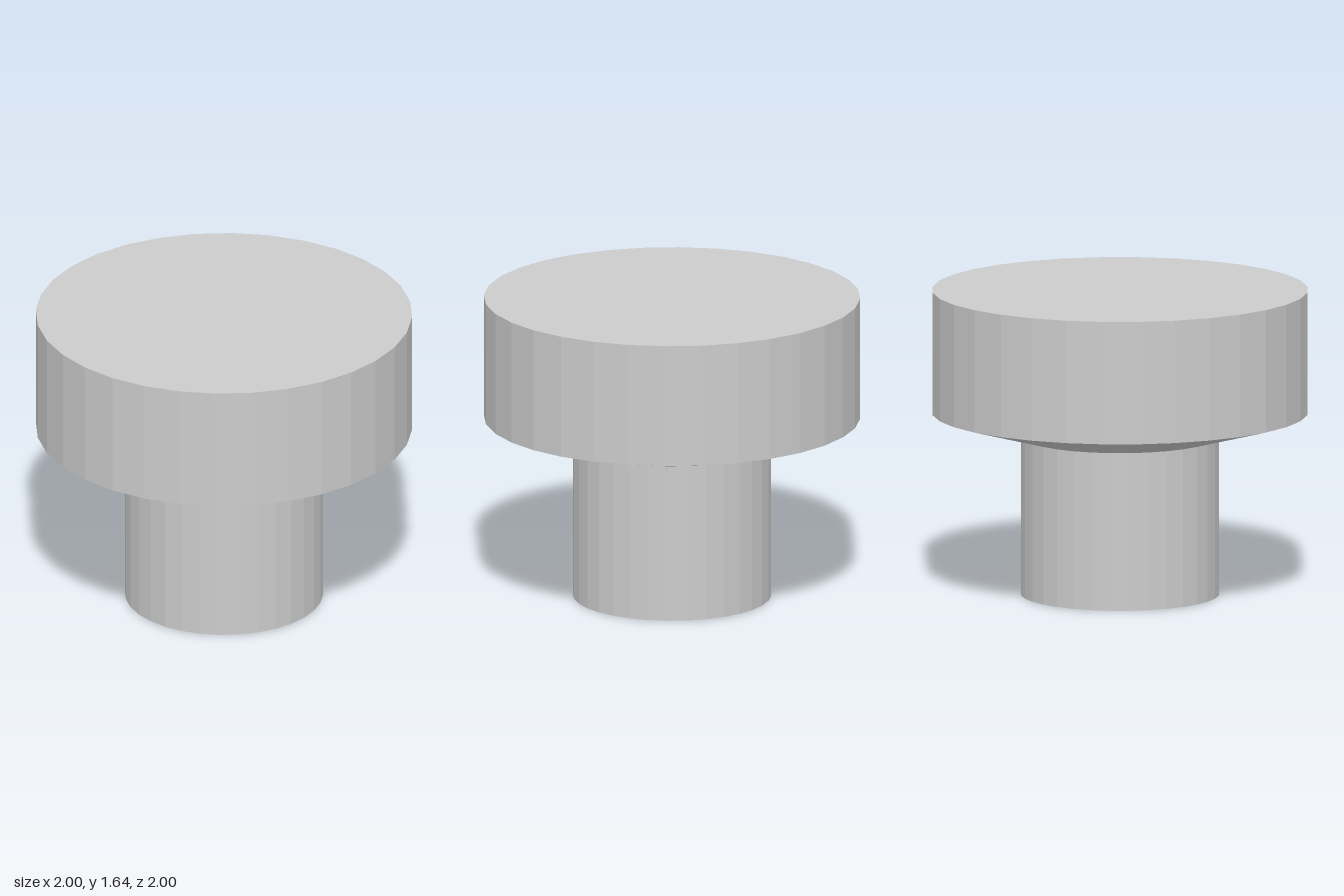
import * as THREE from 'three';

const SIDES = 32;
const STEM_RADIUS = 0.527;
const HEAD_RADIUS = 1;
const STEM_TOP = 0.85;
const HEAD_BOTTOM = 0.98;
const HEAD_TOP = 1.64;

export function createModel() {
  const group = new THREE.Group();
  group.name = 'knob';
  const material = new THREE.MeshStandardMaterial({ color: 0xcccccc, flatShading: true });

  // Turns a profile of [radius, height] points, listed from bottom to top
  const addTurned = (name, profile) => {
    const points = profile.map(([r, y]) => new THREE.Vector2(r, y));
    const mesh = new THREE.Mesh(new THREE.LatheGeometry(points, SIDES), material);
    mesh.name = name;
    group.add(mesh);
  };

  // Narrow stem, closed underneath
  addTurned('stem', [[0, 0], [STEM_RADIUS, 0], [STEM_RADIUS, STEM_TOP]]);

  // Shallow cone widening from stem to head
  addTurned('flare', [[STEM_RADIUS, STEM_TOP], [HEAD_RADIUS, HEAD_BOTTOM]]);

  // Wide head, closed on top
  addTurned('head', [[HEAD_RADIUS, HEAD_BOTTOM], [HEAD_RADIUS, HEAD_TOP], [0, HEAD_TOP]]);

  return group;
}
